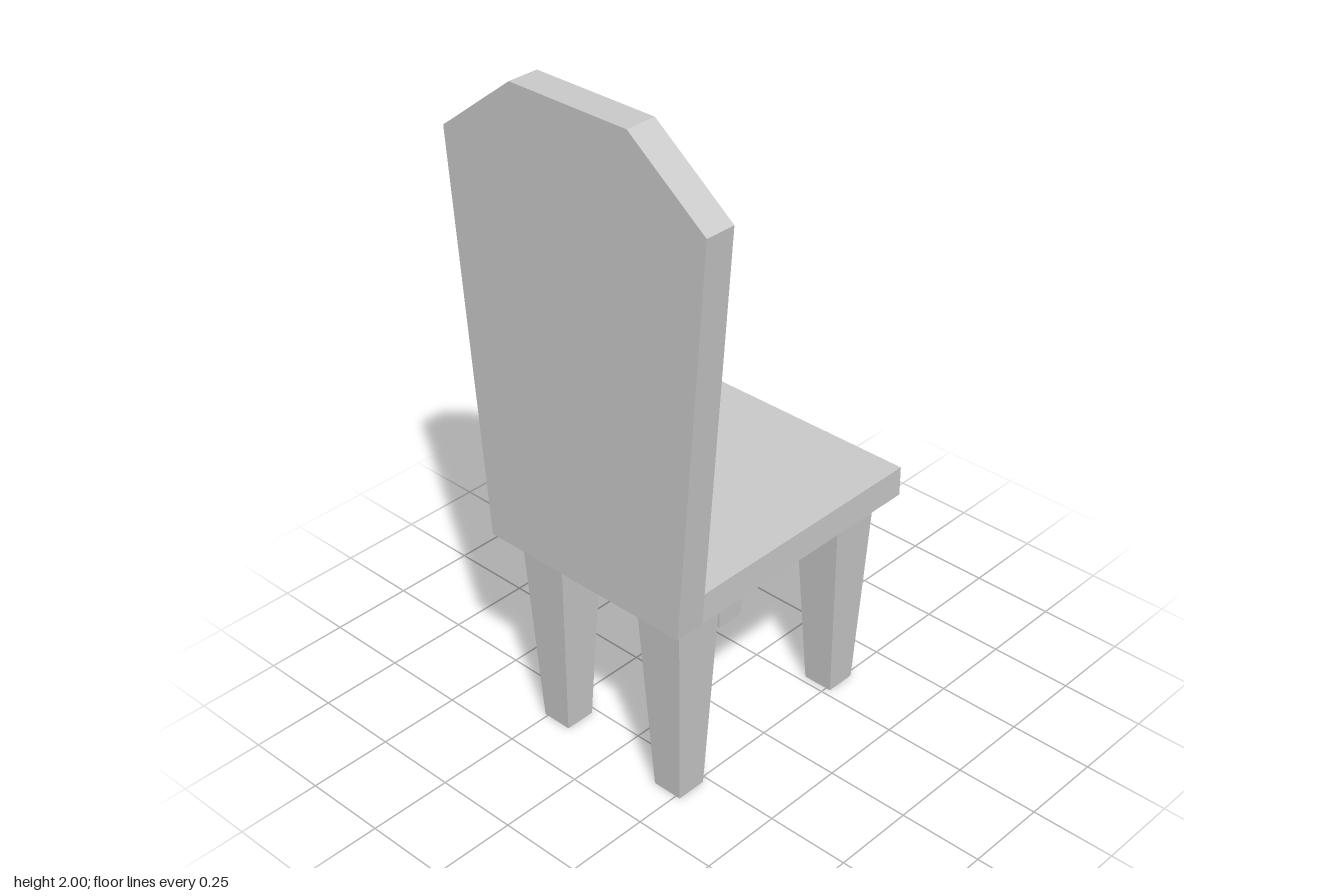
import * as THREE from 'three';

const material = new THREE.MeshStandardMaterial({ color: 0xcccccc, flatShading: true });

function addPart(parent, name, geometry, x, y, z) {
  const mesh = new THREE.Mesh(geometry, material);
  mesh.name = name;
  mesh.position.set(x, y, z);
  parent.add(mesh);
}

// Square leg standing on its base, narrowing towards the floor
function taperedLeg(topWidth, footWidth, height) {
  const geometry = new THREE.CylinderGeometry(topWidth / Math.SQRT2, footWidth / Math.SQRT2, height, 4, 1);
  geometry.rotateY(Math.PI / 4);
  geometry.translate(0, height / 2, 0);
  return geometry;
}

export function createModel() {
  const chair = new THREE.Group();
  chair.name = 'chair';

  const legHeight = 0.63;
  const thickness = 0.09;

  // Seat slab
  addPart(chair, 'seat', new THREE.BoxGeometry(0.684, thickness, 0.802), 0, legHeight + thickness / 2, -0.046);

  // Backrest: flares upwards, with cut top corners
  const outline = new THREE.Shape([
    [-0.342, 0.63], [0.342, 0.63], [0.44, 1.81],
    [0.194, 2], [-0.194, 2], [-0.44, 1.81],
  ].map(([x, y]) => new THREE.Vector2(x, y)));
  const back = new THREE.ExtrudeGeometry(outline, { depth: thickness + 0.002, bevelEnabled: false });
  addPart(chair, 'backrest', back, 0, 0, 0.355);

  // Four tapered legs
  const leg = taperedLeg(0.154, 0.093, legHeight);
  for (const [side, x] of [['Left', 0.218], ['Right', -0.213]]) {
    addPart(chair, `seatEnd${side}Leg`, leg, x, 0, -0.317);
    addPart(chair, `backrestEnd${side}Leg`, leg, x, 0, 0.314);
  }

  return chair;
}
